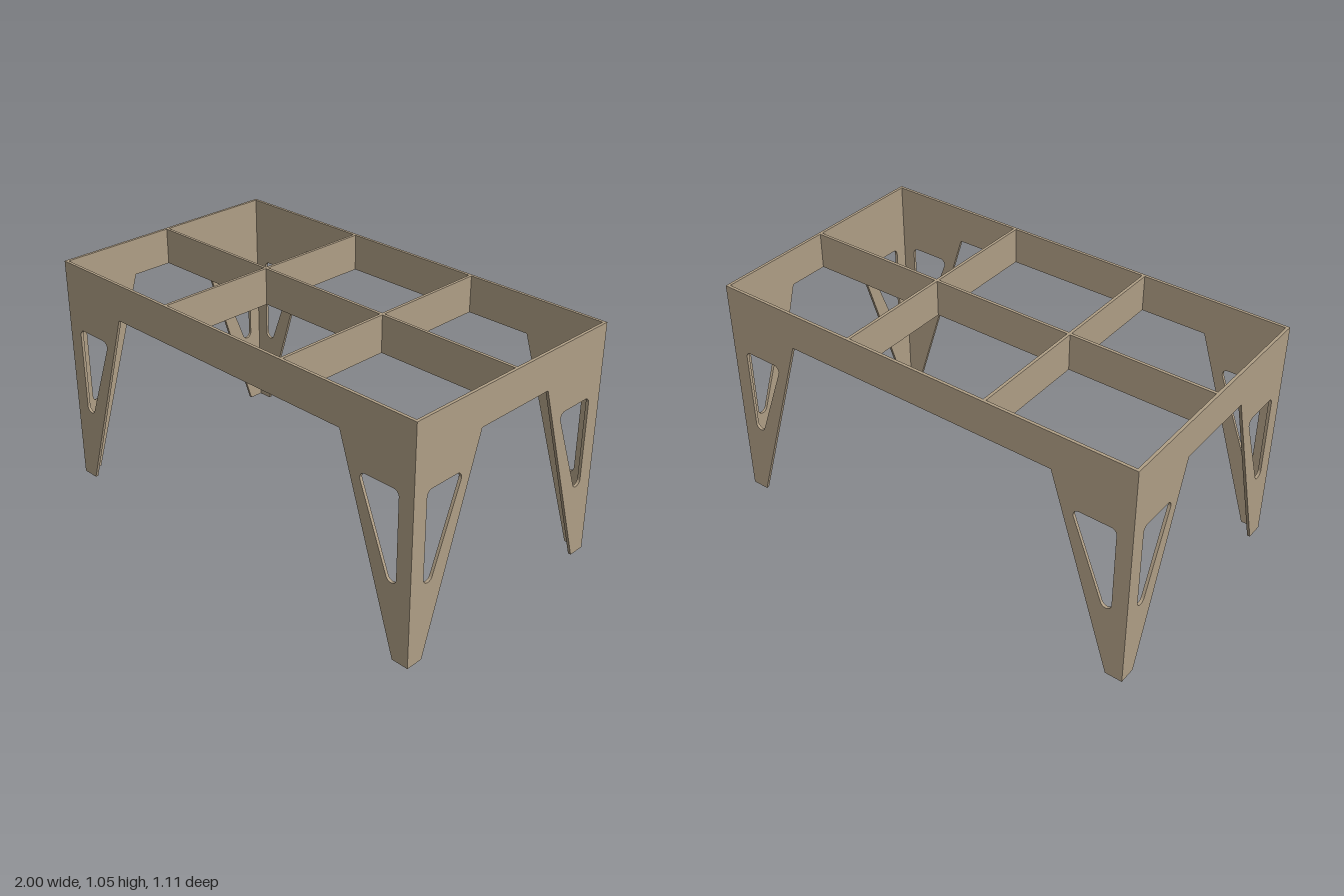
import * as THREE from 'three';

const HALF_X = 1, HALF_Z = 0.556, TOP = 1.05, APRON = 0.885, T = 0.013;

// Rounded triangular cut-out, measured inward from the corner of the table
function legHole(half, side) {
  const r = 0.025;
  const slant = Math.atan2(-0.137, 0.353); // normal of the sloping edge
  const centres = [
    [0.095, 0.37, Math.PI, Math.PI * 2 + slant + 0.02],
    [0.232, 0.723, slant + 0.02, Math.PI / 2],
    [0.095, 0.723, Math.PI / 2, Math.PI],
  ];
  const points = [];
  for (const [inset, y, a0, a1] of centres) {
    for (let i = 0; i <= 10; i++) {
      const a = a0 + (a1 - a0) * i / 10;
      points.push(new THREE.Vector2(side * (half - inset - r * Math.cos(a)), y + r * Math.sin(a)));
    }
  }
  return new THREE.Path(points);
}

// Flat panel: apron with two tapered legs, the ends trimmed for the corner joint
function panelGeometry(half, trim) {
  const e = half - trim, foot = half - 0.078, knee = half - 0.36;
  const shape = new THREE.Shape([
    [-e, 0], [-foot, 0], [-knee, APRON], [knee, APRON],
    [foot, 0], [e, 0], [e, TOP], [-e, TOP],
  ].map(([x, y]) => new THREE.Vector2(x, y)));
  shape.holes.push(legHole(half, 1), legHole(half, -1));
  const geometry = new THREE.ExtrudeGeometry(shape, { depth: T, bevelEnabled: false });
  geometry.translate(0, 0, -T / 2);
  return geometry;
}

export function createModel() {
  const model = new THREE.Group();
  model.name = 'tableFrame';
  const wood = new THREE.MeshStandardMaterial({ color: 0xb09f86 });
  wood.name = 'plywood';

  const add = (name, geometry, x, y, z, turn = 0) => {
    const mesh = new THREE.Mesh(geometry, wood);
    mesh.name = name;
    mesh.position.set(x, y, z);
    mesh.rotation.y = turn;
    model.add(mesh);
  };

  // Outer panels with legs
  const longPanel = panelGeometry(HALF_X, 0);
  const endPanel = panelGeometry(HALF_Z, T);
  add('frontPanel', longPanel, 0, 0, HALF_Z - T / 2);
  add('backPanel', longPanel, 0, 0, -HALF_Z + T / 2);
  add('leftPanel', endPanel, HALF_X - T / 2, 0, 0, Math.PI / 2);
  add('rightPanel', endPanel, -HALF_X + T / 2, 0, 0, Math.PI / 2);

  // Inner ribs: one lengthwise, two crosswise, each crosswise rib in two halves
  const height = TOP - APRON, midY = (TOP + APRON) / 2;
  add('longRib', new THREE.BoxGeometry(2 * (HALF_X - T), height, T), 0, midY, 0);
  const length = HALF_Z - 1.5 * T;
  const crossRib = new THREE.BoxGeometry(T, height, length);
  for (const x of [-0.333, 0.333]) {
    for (const s of [-1, 1]) add('crossRib', crossRib, x, midY, s * (T / 2 + length / 2));
  }
  return model;
}
